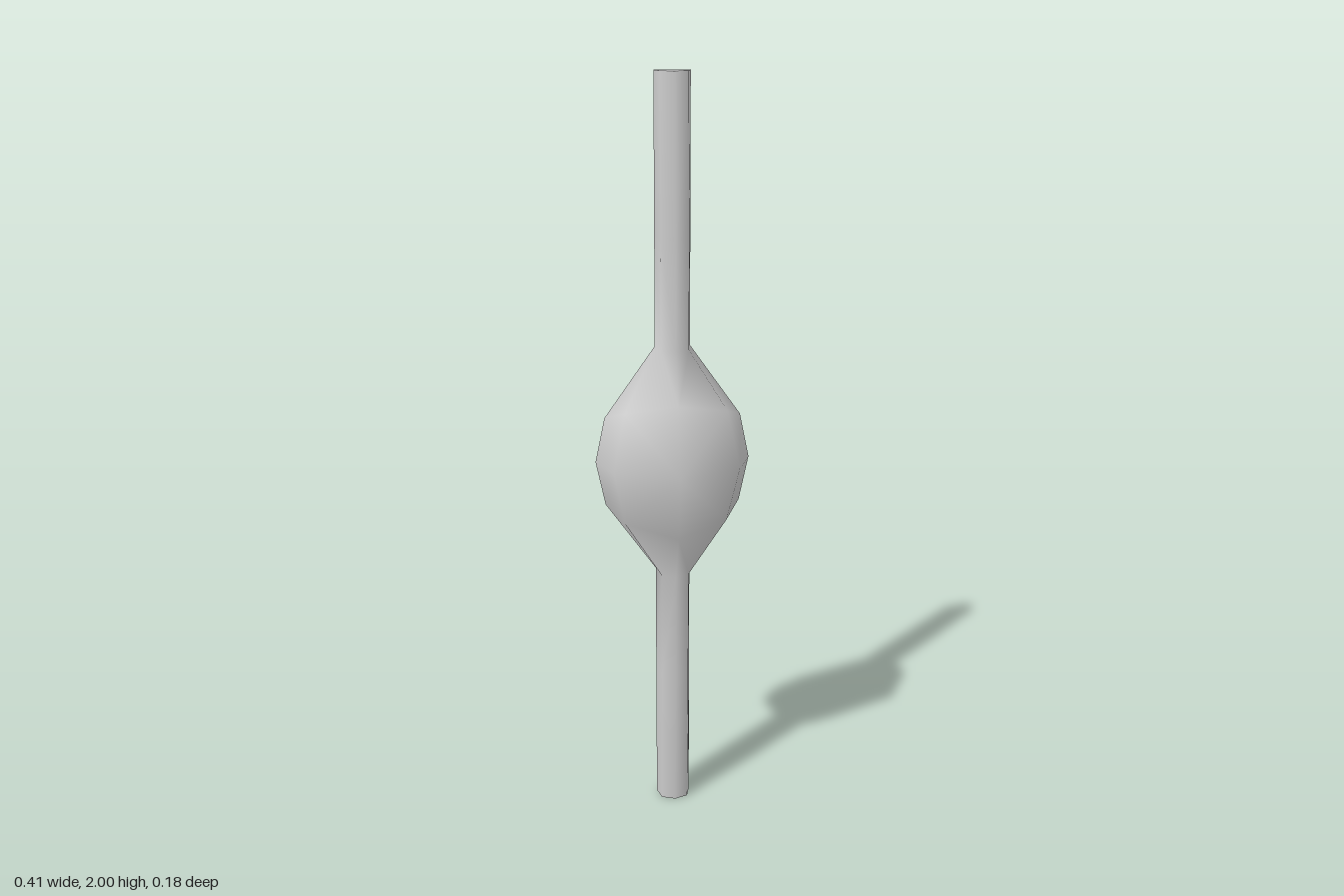
import * as THREE from 'three';

// Cross-sections from mid-height up: [x, y, z] of the rim, shoulder and ridge
const HALF = [
  [[0.205, 1.0, -0.09], [0.165, 1.0, 0.01], [0, 1.0, 0.088]],
  [[0.18, 1.12, -0.09], [0.135, 1.15, -0.015], [0, 1.18, 0.038]],
  [[0.046, 1.31, -0.09], [0.036, 1.31, -0.035], [0, 1.31, -0.018]],
  [[0.046, 1.6, -0.09], [0.036, 1.6, -0.035], [0, 1.6, -0.018]],
  [[0.046, 2.0, -0.09], [0.036, 2.0, -0.05], [0, 2.0, -0.036]],
];

// Mirror a half section into a full arc from -x to +x
const fullArc = (s) => [
  ...s.map(([x, y, z]) => [-x, y, z]),
  ...s.slice(0, -1).reverse(),
];

function makeGeometry(points, index) {
  const g = new THREE.BufferGeometry();
  g.setAttribute('position', new THREE.Float32BufferAttribute(points.flat(), 3));
  g.setIndex(index);
  g.computeVertexNormals();
  return g;
}

export function createModel() {
  const group = new THREE.Group();
  group.name = 'handle';
  const material = new THREE.MeshStandardMaterial({ color: 0xcccccc, side: THREE.DoubleSide });
  const add = (name, geometry) => {
    const mesh = new THREE.Mesh(geometry, material);
    mesh.name = name;
    group.add(mesh);
  };

  // Sections bottom to top, the lower half mirrored about y = 1
  const lower = HALF.slice(1).reverse().map((s) => s.map(([x, y, z]) => [x, 2 - y, z]));
  const rings = [...lower, ...HALF].map(fullArc);
  const n = rings[0].length;

  // Hollow shell, open at the back
  const index = [];
  for (let r = 0; r < rings.length - 1; r++) {
    for (let i = 0; i < n - 1; i++) {
      const a = r * n + i, b = a + 1, c = a + n, d = c + 1;
      // Diagonals mirrored left to right and top to bottom
      const flip = (r < (rings.length - 1) / 2) === (i < (n - 1) / 2);
      if (flip) index.push(a, b, d, a, d, c);
      else index.push(a, b, c, b, d, c);
    }
  }
  add('shell', makeGeometry(rings.flat(), index));

  // Flat end caps
  const fan = [0, 1, 2, 0, 2, 3, 0, 3, 4];
  add('topCap', makeGeometry(rings[rings.length - 1], fan));
  add('bottomCap', makeGeometry(rings[0], [...fan].reverse()));

  return group;
}
